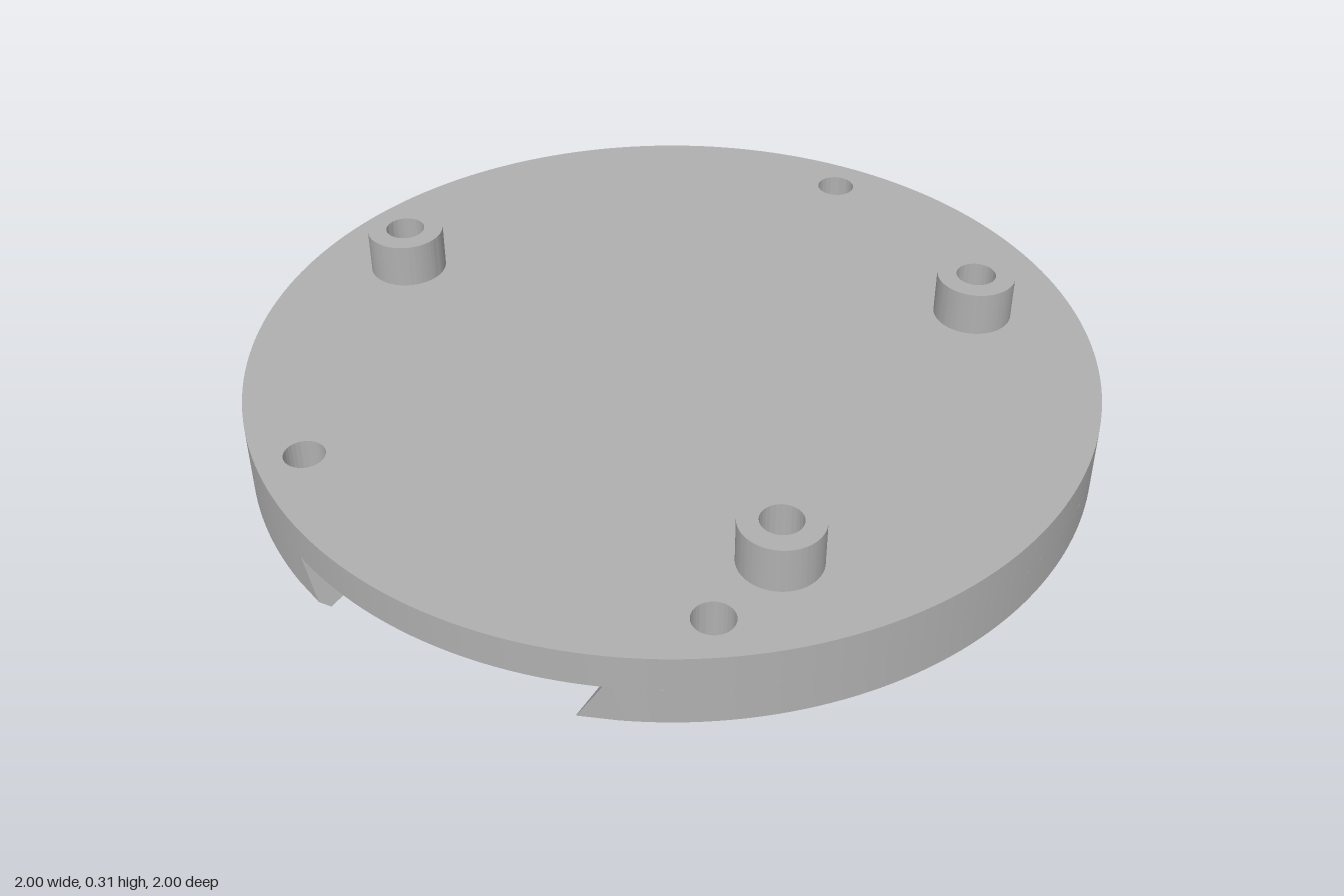
import * as THREE from 'three';
import { toCreasedNormals } from 'three/addons/utils/BufferGeometryUtils.js';

const TOP = 0.2, SLOT_TOP = 0.115, CHAMFER = 0.024;
const SLOT_WIDE = 0.375, SLOT_NARROW = 0.31, SLOT_END = -0.6;
const BORE = 0.047, COUNTERBORE = 0.076, BOSS = 0.093, BOSS_TOP = 0.31;
const GROOVE = { z: -0.31, r: 0.04, half: 0.34 };
const bossSpots = [[0.55, -0.515], [0.55, 0.515], [-0.77, 0]];
const rimSpots = [[0, -0.895], [0.513, 0.73], [-0.513, 0.73]];

const disc = (x, z, r, Type = THREE.Shape) => {
  const s = new Type();
  s.absarc(x, z, r, 0, Math.PI * 2, false);
  return s;
};

function addHoles(shape, spots, r) {
  for (const [x, z] of spots) shape.holes.push(disc(x, z, r, THREE.Path));
  return shape;
}

// Horizontal plate between two heights, from a shape drawn in x and z
function plate(shape, y0, y1, steps = 1) {
  const g = new THREE.ExtrudeGeometry(shape, { depth: y1 - y0, steps, bevelEnabled: false, curveSegments: 96 });
  return g.rotateX(Math.PI / 2).translate(0, y1, 0);
}

// Lower layer: open-fronted disc with chamfered rim and dovetail slot
function lowerLayer(spots) {
  const a = Math.acos(SLOT_WIDE);
  const shape = new THREE.Shape();
  shape.moveTo(SLOT_WIDE, SLOT_END);
  shape.lineTo(SLOT_WIDE, Math.sin(a));
  shape.absarc(0, 0, 1, a, Math.PI - a - Math.PI * 2, true);
  shape.lineTo(-SLOT_WIDE, SLOT_END);
  shape.closePath();
  addHoles(shape, spots, COUNTERBORE);
  const g = plate(shape, 0, SLOT_TOP, 2);
  const p = g.attributes.position;
  for (let i = 0; i < p.count; i++) {
    let x = p.getX(i), y = p.getY(i), z = p.getZ(i);
    if (y > 0.01 && y < SLOT_TOP - 0.01) y = CHAMFER;
    const rim = y < 0.01 ? 1 - CHAMFER : 1;
    const onRim = Math.hypot(x, z) > 0.995;
    const onSlot = Math.abs(Math.abs(x) - SLOT_WIDE) < 1e-4 && (z > 0.9 || Math.abs(z - SLOT_END) < 1e-4);
    if (onSlot) {
      x = Math.sign(x) * THREE.MathUtils.lerp(SLOT_NARROW, SLOT_WIDE, y / SLOT_TOP);
      if (z > 0) z = Math.sqrt(rim * rim - x * x);
    } else if (onRim) {
      x *= rim;
      z *= rim;
    }
    p.setXYZ(i, x, y, z);
  }
  return g;
}

export function createModel() {
  const group = new THREE.Group();
  const grey = new THREE.MeshStandardMaterial({ color: 0xb0b0b0, side: THREE.DoubleSide });
  grey.name = 'grey';
  const add = (name, geometry) => {
    const mesh = new THREE.Mesh(toCreasedNormals(geometry, 0.5), grey);
    mesh.name = name;
    group.add(mesh);
  };
  const allSpots = [...bossSpots, ...rimSpots];

  add('slottedBase', lowerLayer(allSpots));

  // Middle layer forms the slot ceiling and is cut for the catch groove
  const { z, r, half } = GROOVE;
  const middle = addHoles(disc(0, 0, 1), allSpots, BORE);
  middle.holes.push(new THREE.Path([[-half, z - r], [half, z - r], [half, z + r], [-half, z + r]]
    .map(([x, y]) => new THREE.Vector2(x, y))));
  add('slotCeiling', plate(middle, SLOT_TOP, SLOT_TOP + r));
  add('topPlate', plate(addHoles(disc(0, 0, 1), allSpots, BORE), SLOT_TOP + r, TOP));

  // Rounded lining of the catch groove
  const lining = new THREE.CylinderGeometry(r, r, half * 2, 24, 1, true, 0, Math.PI);
  add('catchGroove', lining.rotateZ(Math.PI / 2).translate(0, SLOT_TOP, z));

  // Hollow standoffs
  for (const spot of bossSpots) {
    add('standoff', plate(addHoles(disc(...spot, BOSS), [spot], BORE), TOP, BOSS_TOP));
  }
  return group;
}
